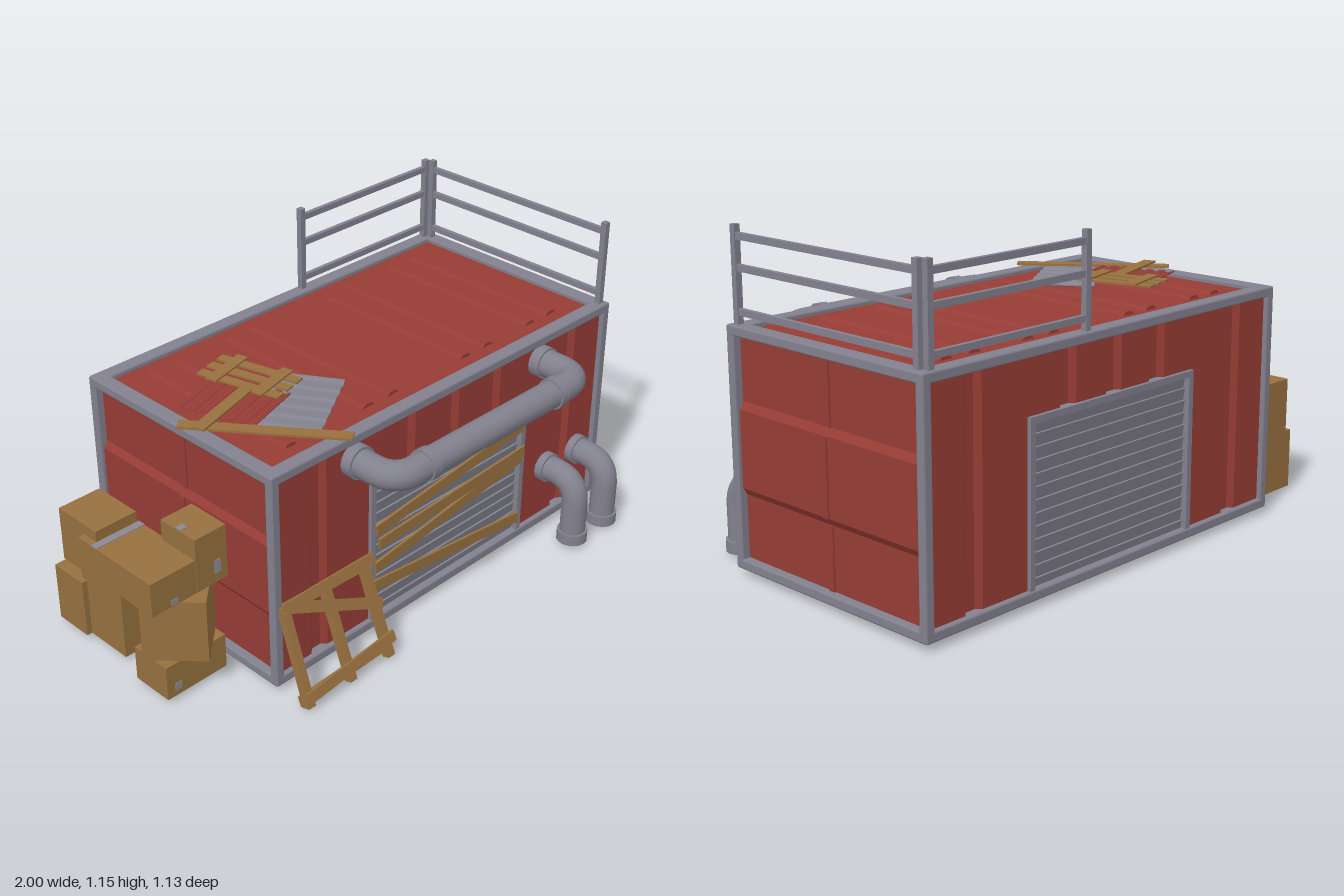
import * as THREE from 'three';
import { RoundedBoxGeometry } from 'three/addons/geometries/RoundedBoxGeometry.js';

const mat = (name, color) => Object.assign(new THREE.MeshStandardMaterial({ color }), { name });

export function createModel() {
  const red = mat('red painted steel', 0x963c35);
  const grey = mat('grey steel', 0x82818e);
  const wood = mat('weathered wood', 0x98713f);
  const card = mat('cardboard', 0x96703f);
  const tape = mat('packing tape', 0x8b8a94);
  const root = new THREE.Group();
  root.name = 'container';

  const group = (name, parent = root) => {
    const g = new THREE.Group();
    g.name = name;
    parent.add(g);
    return g;
  };
  const add = (parent, name, geo, m, x = 0, y = 0, z = 0) => {
    const o = new THREE.Mesh(geo, m);
    o.name = name;
    o.position.set(x, y, z);
    parent.add(o);
    return o;
  };
  const box = (parent, name, m, w, h, d, x, y, z) =>
    add(parent, name, new THREE.BoxGeometry(w, h, d), m, x, y, z);
  const beam = (parent, name, w, h, d, x, y, z) =>
    add(parent, name, new RoundedBoxGeometry(w, h, d, 1, 0.007), grey, x, y, z);
  // Flat board in the local xy plane, from one end to the other
  const board = (parent, m, x0, y0, x1, y1, w, t, z = 0) => {
    const b = box(parent, 'board', m, Math.hypot(x1 - x0, y1 - y0), w, t, (x0 + x1) / 2, (y0 + y1) / 2, z);
    b.rotation.z = Math.atan2(y1 - y0, x1 - x0);
    return b;
  };
  // Sheet with trapezoid grooves: length along x, outward +z, hanging down from y = 0
  const grooved = (x0, x1, height, grooves, w, depth, t) => {
    const out = [[x0, 0]];
    for (const c of grooves) {
      if (c - w / 2 <= x0 || c + w / 2 >= x1) continue;
      out.push([c - w / 2, 0], [c - w / 4, -depth], [c + w / 4, -depth], [c + w / 2, 0]);
    }
    out.push([x1, 0]);
    const back = out.map(([x, z]) => [x, z - t]).reverse();
    const shape = new THREE.Shape([...out, ...back].map(([x, z]) => new THREE.Vector2(x, z)));
    return new THREE.ExtrudeGeometry(shape, { depth: height, bevelEnabled: false }).rotateX(Math.PI / 2);
  };

  // Body centred on CX, CZ
  const CX = 0.165, CZ = -0.115, HX = 0.835, HZ = 0.45, Y0 = 0.02, Y1 = 0.83;
  const frame = group('frame');
  for (const s of [-1, 1]) {
    for (const y of [Y0 + 0.0175, Y1 - 0.0175]) {
      beam(frame, 'longBeam', HX * 2, 0.035, 0.055, CX, y, CZ + s * (HZ - 0.0275));
      beam(frame, 'crossBeam', 0.055, 0.035, HZ * 2, CX + s * (HX - 0.0275), y, CZ);
    }
    for (const r of [-1, 1])
      beam(frame, 'cornerPost', 0.034, Y1 - Y0, 0.034, CX + s * (HX - 0.017), (Y0 + Y1) / 2, CZ + r * (HZ - 0.017));
  }

  // Front and back walls, each with a roller shutter
  const ribs = [-0.625, -0.43, -0.215, 0, 0.215, 0.43, 0.625];
  for (const [name, turn] of [['frontWall', 0], ['backWall', Math.PI]]) {
    const wall = group(name);
    wall.position.set(CX, 0, CZ);
    wall.rotation.y = turn;
    const z = HZ - 0.018, top = 0.81, door = 0.61, W = 0.395;
    add(wall, 'wallPanel', grooved(-0.81, -W, top - 0.04, ribs, 0.075, 0.018, 0.008), red, 0, top, z);
    add(wall, 'wallPanel', grooved(W, 0.81, top - 0.04, ribs, 0.075, 0.018, 0.008), red, 0, top, z);
    add(wall, 'wallPanel', grooved(-W, W, top - door, ribs, 0.075, 0.018, 0.008), red, 0, top, z);
    for (const s of [-1, 1]) box(wall, 'shutterJamb', grey, 0.022, door - 0.04, 0.045, s * (W - 0.011), (door + 0.04) / 2, z - 0.009);
    box(wall, 'shutterLintel', grey, W * 2, 0.022, 0.045, 0, door - 0.011, z - 0.009);
    const n = 13, step = (door - 0.06) / n;
    for (let i = 0; i < n; i++) {
      const slat = box(wall, 'shutterSlat', grey, W * 2 - 0.04, step + 0.002, 0.01, 0, 0.04 + (i + 0.5) * step, z - 0.013);
      slat.rotation.x = 0.16;
    }
  }

  // End walls: raised middle band and a vertical seam
  for (const [name, turn] of [['leftWall', 0], ['rightWall', Math.PI]]) {
    const wall = group(name);
    wall.position.set(CX, 0, CZ);
    wall.rotation.y = turn;
    const x = HX - 0.03;
    const profile = [[x, 0.05], [x, 0.27], [x + 0.016, 0.295], [x + 0.016, 0.555], [x, 0.58], [x, 0.8],
      [x - 0.008, 0.8], [x - 0.008, 0.05]].map(p => new THREE.Vector2(...p));
    add(wall, 'endPanel', new THREE.ExtrudeGeometry(new THREE.Shape(profile), { depth: 0.86, bevelEnabled: false }),
      red, 0, 0, -0.43);
    for (const [y0, y1, dx] of [[0.05, 0.27, 0], [0.295, 0.555, 0.016], [0.58, 0.8, 0]])
      box(wall, 'seam', red, 0.008, y1 - y0, 0.024, x + dx + 0.002, (y0 + y1) / 2, 0);
  }

  // Roof with pressed ribs
  const roof = group('roof');
  box(roof, 'roofPanel', red, HX * 2 - 0.08, 0.012, HZ * 2 - 0.08, CX, 0.808, CZ);
  const ribShape = new THREE.Shape([[-0.027, 0], [0.027, 0], [0.014, 0.012], [-0.014, 0.012]].map(p => new THREE.Vector2(...p)));
  const ribGeo = new THREE.ExtrudeGeometry(ribShape, { depth: 0.67, bevelEnabled: false });
  for (const x of [-0.48, -0.365, -0.135, -0.02, 0.34, 0.455, 0.685, 0.8]) add(roof, 'roofRib', ribGeo, red, x, 0.814, -0.45);

  // Railing on the back left roof corner
  const rail = group('railing');
  for (const [x, z] of [[0.295, -0.543], [0.955, -0.543], [0.97, -0.517], [0.97, 0.306]])
    box(rail, 'railPost', grey, 0.022, 0.325, 0.022, x, 0.983, z);
  for (const y of [0.87, 1.01, 1.11]) {
    box(rail, 'backRail', grey, 0.66, 0.022, 0.016, 0.625, y, -0.543);
    box(rail, 'sideRail', grey, 0.016, 0.022, 0.823, 0.97, y, -0.105);
  }

  // Pipes: straight runs joined by rounded elbows
  const pipe = (parent, pts, r, bend) => {
    const v = pts.map(p => new THREE.Vector3(...p));
    const path = new THREE.CurvePath();
    let from = v[0];
    for (let i = 1; i < v.length - 1; i++) {
      const a = v[i].clone().lerp(v[i - 1], bend / v[i].distanceTo(v[i - 1]));
      const b = v[i].clone().lerp(v[i + 1], bend / v[i].distanceTo(v[i + 1]));
      path.add(new THREE.LineCurve3(from, a));
      path.add(new THREE.QuadraticBezierCurve3(a, v[i], b));
      from = b;
    }
    path.add(new THREE.LineCurve3(from, v[v.length - 1]));
    add(parent, 'pipe', new THREE.TubeGeometry(path, 72, r, 14), grey);
  };
  const collar = (parent, r, h, axis, x, y, z) => {
    const c = add(parent, 'pipeCollar', new THREE.CylinderGeometry(r, r, h, 16), grey, x, y, z);
    if (axis === 'x') c.rotation.z = Math.PI / 2;
    if (axis === 'z') c.rotation.x = Math.PI / 2;
  };
  const duct = group('frontPipe');
  pipe(duct, [[-0.305, 0.735, 0.31], [-0.305, 0.735, 0.505], [0.62, 0.735, 0.505], [0.62, 0.735, 0.31]], 0.05, 0.09);
  for (const x of [-0.305, 0.62]) collar(duct, 0.058, 0.04, 'z', x, 0.735, 0.34);
  for (const x of [-0.165, 0.475]) collar(duct, 0.056, 0.038, 'x', x, 0.735, 0.505);
  for (const x of [0.695, 0.872]) {
    const drain = group('drainPipe');
    pipe(drain, [[x, 0.262, 0.31], [x, 0.262, 0.472], [x, 0.015, 0.472]], 0.048, 0.095);
    collar(drain, 0.057, 0.042, 'y', x, 0.031, 0.472);
    collar(drain, 0.056, 0.03, 'z', x, 0.262, 0.335);
  }

  // Planks nailed over the front shutter
  const planks = group('shutterPlanks');
  planks.position.z = 0.338;
  [[-0.215, 0.42, 0.535, 0.51], [-0.2, 0.36, 0.545, 0.4], [-0.215, 0.267, 0.535, 0.375], [-0.225, 0.2, 0.53, 0.12]]
    .forEach((p, i) => board(planks, wood, ...p, 0.042, 0.01, i === 2 ? -0.004 : 0));

  // Broken pallet leaning on the front wall
  const pallet = group('leaningPallet');
  pallet.position.set(0, 0.008, 0.475);
  pallet.rotation.x = -0.35;
  pallet.scale.y = 1.06;
  for (const [x0, x1] of [[-0.645, -0.64], [-0.455, -0.46], [-0.275, -0.285]])
    board(pallet, wood, x0, 0, x1, 0.335, 0.03, 0.03, -0.015);
  for (const p of [[-0.655, 0.335, -0.25, 0.335], [-0.66, 0.035, -0.25, 0.065], [-0.65, 0.34, -0.265, 0.185]])
    board(pallet, wood, ...p, 0.036, 0.012, 0.007);
  for (const p of [[-0.66, 0.02, -0.255, 0.03], [-0.655, 0.32, -0.255, 0.31]])
    board(pallet, wood, ...p, 0.036, 0.012, -0.036);

  // Scrap lying on the roof, drawn flat with local y pointing to the back
  const scrap = group('roofScrap');
  scrap.position.y = 0.833;
  scrap.rotation.x = -Math.PI / 2;
  const sheet = (name, m, w, h, x, y, angle, z) => {
    const holder = group(name, scrap);
    holder.position.set(x, y, z);
    holder.rotation.z = angle;
    const grooves = Array.from({ length: 6 }, (_, i) => -w / 2 + (i + 0.5) * w / 6);
    add(holder, name, grooved(-w / 2, w / 2, h, grooves, w / 9, 0.006, 0.003), m, 0, h / 2, 0);
  };
  sheet('greySheet', grey, 0.38, 0.23, -0.31, -0.07, 0.56, 0.003);
  sheet('redSheet', red, 0.28, 0.24, -0.44, 0.085, -1.27, 0.009);
  board(scrap, wood, -0.67, 0.1, -0.33, -0.345, 0.045, 0.008, 0.006);
  board(scrap, wood, -0.655, 0.02, -0.365, 0.105, 0.045, 0.007, 0.016);
  const small = group('roofPallet', scrap);
  small.position.set(-0.315, 0.155, 0.017);
  small.rotation.z = 0.25;
  for (const x of [-0.058, 0, 0.058]) board(small, wood, x, -0.16, x, 0.16, 0.038, 0.006);
  for (const y of [-0.09, 0.09]) board(small, wood, -0.095, y, 0.095, y, 0.042, 0.006, 0.006);

  // Cardboard boxes: width, height, depth, x, base, z, turn
  const boxes = group('cardboardBoxes');
  [[0.245, 0.22, 0.15, -0.813, 0.015, -0.405, 0], [0.17, 0.205, 0.2, -0.805, 0.235, -0.39, 0],
    [0.2, 0.385, 0.21, -0.815, 0.015, -0.25, 0], [0.25, 0.13, 0.16, -0.83, 0.015, 0.045, 0],
    [0.195, 0.235, 0.215, -0.835, 0.145, 0.05, 0.75], [0.18, 0.125, 0.2, -0.91, 0.38, 0.035, 0],
    [0.128, 0.2, 0.165, -0.753, 0.38, 0.052, 0]].forEach(([w, h, d, x, y, z, turn]) => {
    const b = box(boxes, 'cardboardBox', card, w, h, d, x, y + h / 2, z);
    b.rotation.y = turn;
  });
  box(boxes, 'tapeStrip', tape, 0.201, 0.004, 0.028, -0.815, 0.401, -0.27);
  box(boxes, 'tapeStrip', tape, 0.025, 0.05, 0.004, -0.73, 0.44, 0.135);
  box(boxes, 'tapeStrip', tape, 0.028, 0.02, 0.004, -0.91, 0.395, 0.135);
  box(boxes, 'tapeStrip', tape, 0.028, 0.03, 0.004, -0.91, 0.05, 0.125);
  box(boxes, 'tapeStrip', tape, 0.028, 0.004, 0.025, -0.8, 0.581, 0.052);
  return root;
}
